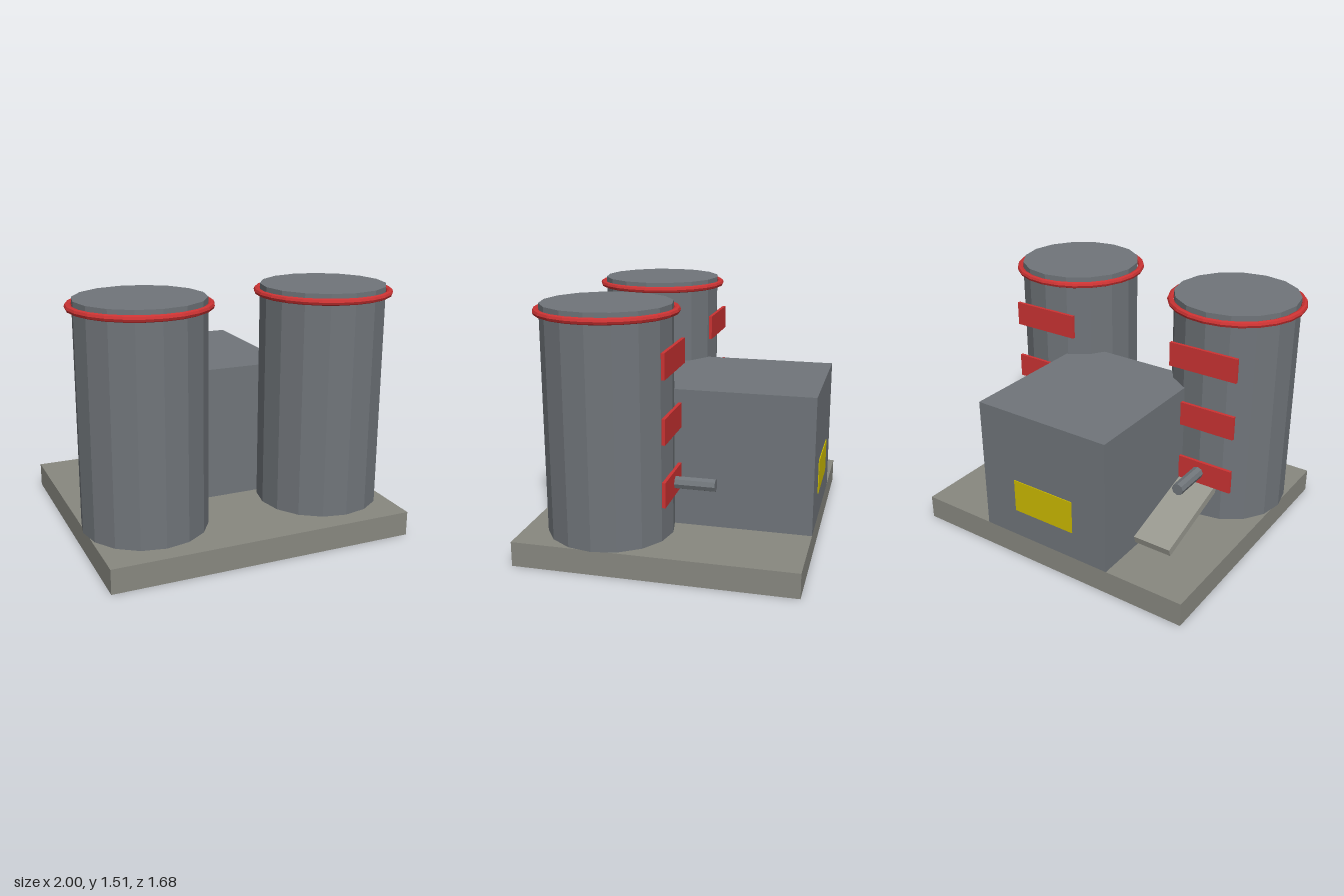
import * as THREE from 'three';

const mat = (color) => new THREE.MeshStandardMaterial({ color, flatShading: true });

export function createModel() {
  const root = new THREE.Group();
  const concrete = mat(0x888880);
  const steel = mat(0x70757a);
  const pale = mat(0x999990);
  const red = mat(0xcc3333);
  const yellow = mat(0xccbb00);

  const add = (parent, name, geometry, material, x, y, z) => {
    const mesh = new THREE.Mesh(geometry, material);
    mesh.name = name;
    mesh.position.set(x, y, z);
    parent.add(mesh);
    return mesh;
  };
  const box = (w, h, d) => new THREE.BoxGeometry(w, h, d);

  // Ground slab and block building with its rear sign
  add(root, 'baseSlab', box(1.89, 0.15, 1.68), concrete, 0, 0.075, 0);
  add(root, 'building', box(0.89, 0.84, 0.995), steel, 0, 0.57, -0.3425);
  add(root, 'rearSign', box(0.42, 0.21, 0.02), yellow, 0, 0.435, -0.835);

  // Two storage tanks, each with a top ring, warning panels and an outlet pipe
  for (const side of [-1, 1]) {
    const tank = new THREE.Group();
    tank.name = side > 0 ? 'leftTank' : 'rightTank';
    tank.position.set(side * 0.58, 0, 0.345);
    root.add(tank);

    add(tank, 'tankBody', new THREE.CylinderGeometry(0.38, 0.38, 1.36, 16), steel, 0, 0.83, 0);
    add(tank, 'topRing', new THREE.TorusGeometry(0.398, 0.02, 8, 24), red, 0, 1.467, 0)
      .rotation.x = Math.PI / 2;
    for (let i = 0; i < 3; i++) {
      add(tank, 'warningPanel', box(0.445, 0.15, 0.02), red, 0, 0.465 + i * 0.37, -0.386);
    }
    add(tank, 'outletPipe', new THREE.CylinderGeometry(0.038, 0.038, 0.38, 8), steel, 0, 0.466, -0.445)
      .rotation.x = Math.PI / 2;
  }

  // Sloping chute running up into the right tank
  add(root, 'chute', box(0.26, 0.05, 0.64), pale, -0.56, 0.296, -0.237).rotation.x = -0.3;

  return root;
}
